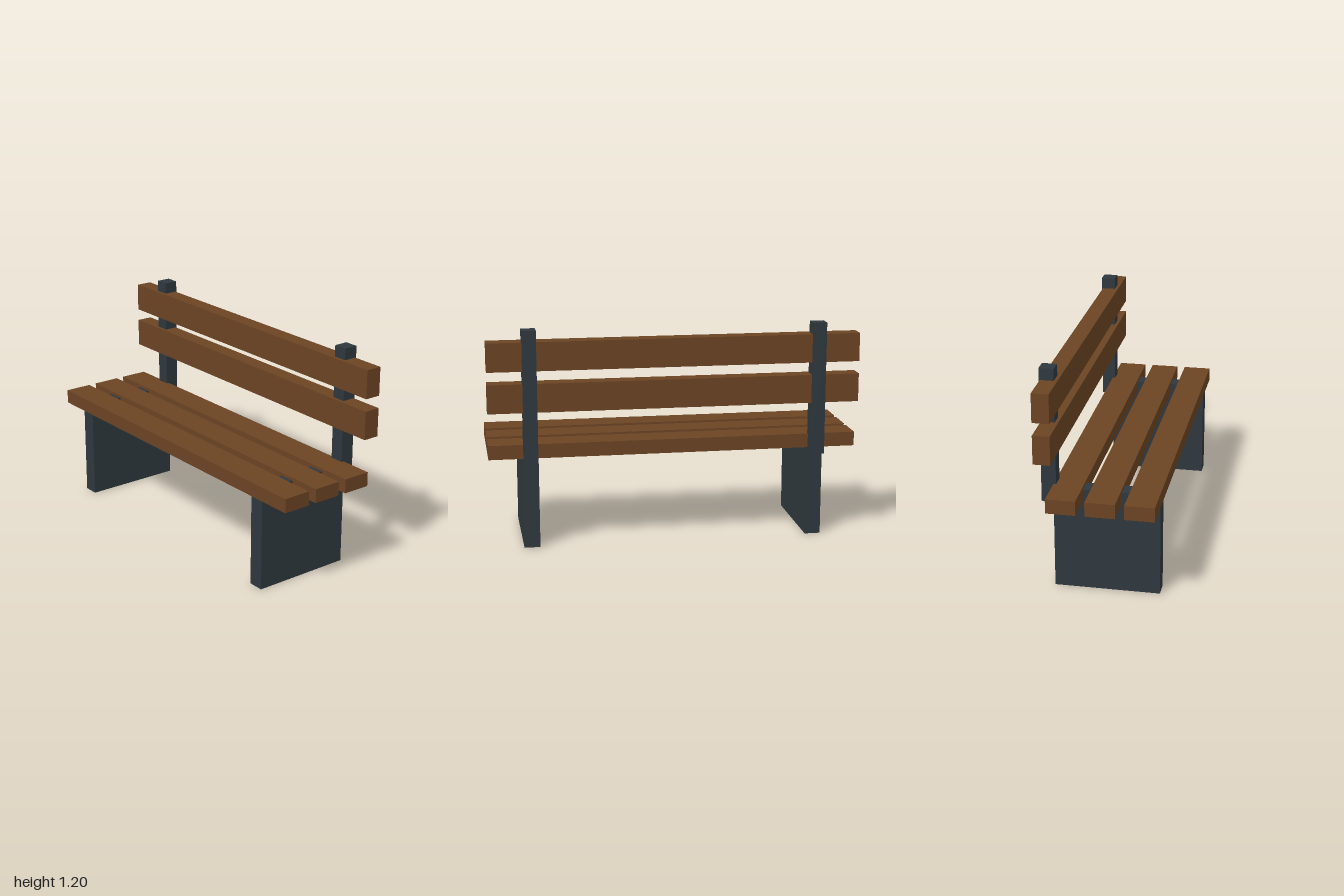
import * as THREE from 'three';

export function createModel() {
  const wood = new THREE.MeshStandardMaterial({ color: 0x6b4423 });
  wood.name = 'brown wood';
  const metal = new THREE.MeshStandardMaterial({ color: 0x2f383e });
  metal.name = 'dark metal';

  const bench = new THREE.Group();
  bench.name = 'bench';

  // Box given by its extents along each axis
  const addBox = (name, material, [x0, x1], [y0, y1], [z0, z1]) => {
    const mesh = new THREE.Mesh(new THREE.BoxGeometry(x1 - x0, y1 - y0, z1 - z0), material);
    mesh.position.set((x0 + x1) / 2, (y0 + y1) / 2, (z0 + z1) / 2);
    mesh.name = name;
    bench.add(mesh);
  };

  // Seat slats, front to back
  ['front', 'middle', 'rear'].forEach((place, i) => {
    const z = 0.232 - i * 0.2;
    addBox(`${place}SeatSlat`, wood, [-1, 1], [0.496, 0.573], [z - 0.077, z + 0.077]);
  });

  // Backrest slats
  addBox('lowerBackSlat', wood, [-1, 1], [0.758, 0.912], [-0.302, -0.213]);
  addBox('upperBackSlat', wood, [-1, 1], [0.979, 1.133], [-0.302, -0.213]);

  // Leg panel and backrest post on each side
  for (const [side, s] of [['left', 1], ['right', -1]]) {
    const x = s * 0.777;
    addBox(`${side}LegPanel`, metal, [x - 0.043, x + 0.043], [0, 0.557], [-0.244, 0.308]);
    addBox(`${side}BackPost`, metal, [x - 0.038, x + 0.038], [0.474, 1.195], [-0.308, -0.231]);
  }

  return bench;
}
